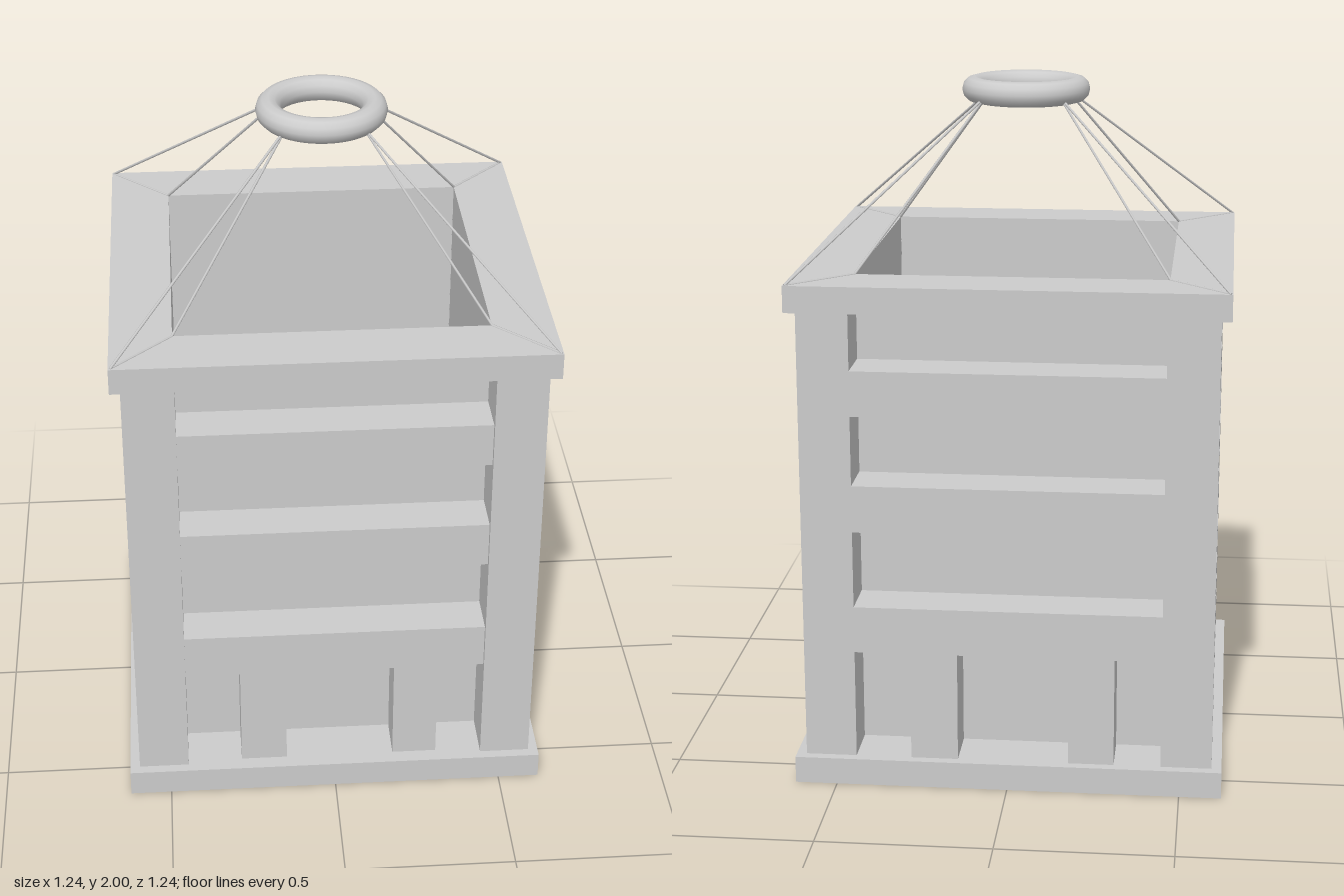
import * as THREE from 'three';

const material = new THREE.MeshStandardMaterial({ color: 0xcccccc });
const sheetMaterial = new THREE.MeshStandardMaterial({ color: 0xcccccc, side: THREE.DoubleSide });

const OUTER = 0.622, INNER = 0.446, POST = 0.593;
const BASE_TOP = 0.079, RIM_BOTTOM = 1.412, RIM_TOP = 1.489;

// Box given by its limits on each axis
function box(name, x0, x1, y0, y1, z0, z1) {
  const mesh = new THREE.Mesh(new THREE.BoxGeometry(x1 - x0, y1 - y0, z1 - z0), material);
  mesh.position.set((x0 + x1) / 2, (y0 + y1) / 2, (z0 + z1) / 2);
  mesh.name = name;
  return mesh;
}

// Flat square frame with a square hole
function squareFrame(name, y0, y1) {
  const square = (r) => [[-r, -r], [r, -r], [r, r], [-r, r]].map(([x, y]) => new THREE.Vector2(x, y));
  const shape = new THREE.Shape(square(OUTER));
  shape.holes.push(new THREE.Path(square(INNER).reverse()));
  const geometry = new THREE.ExtrudeGeometry(shape, { depth: y1 - y0, bevelEnabled: false });
  geometry.rotateX(-Math.PI / 2);
  const mesh = new THREE.Mesh(geometry, material);
  mesh.position.y = y0;
  mesh.name = name;
  return mesh;
}

// Thin straight wire between two points
function wire(a, b) {
  const mesh = new THREE.Mesh(new THREE.CylinderGeometry(0.004, 0.004, a.distanceTo(b), 6), material);
  mesh.position.copy(a).add(b).multiplyScalar(0.5);
  mesh.quaternion.setFromUnitVectors(new THREE.Vector3(0, 1, 0), b.clone().sub(a).normalize());
  mesh.name = 'wire';
  return mesh;
}

// One side: recessed wall, three beams and two short pillars, facing +z
function createSide(front) {
  const side = new THREE.Group();
  side.name = 'side';

  const wall = new THREE.Mesh(new THREE.PlaneGeometry(INNER * 2, RIM_BOTTOM - BASE_TOP), sheetMaterial);
  wall.position.set(0, (RIM_BOTTOM + BASE_TOP) / 2, INNER);
  wall.name = 'wall';
  side.add(wall);

  for (const [y0, y1] of [[0.402, 0.54], [0.767, 0.905], [1.11, 1.242]]) {
    side.add(box('beam', -0.45, 0.445, y0, y1, INNER + 0.002, front));
  }
  for (const [x0, x1] of [[-0.283, -0.146], [0.177, 0.309]]) {
    side.add(box('pillar', x0, x1, BASE_TOP, 0.402, INNER + 0.002, front));
  }
  return side;
}

// One corner: post plus the wires that carry it
function createCorner() {
  const corner = new THREE.Group();
  corner.name = 'corner';
  corner.add(box('cornerPost', 0.445, POST, BASE_TOP, RIM_BOTTOM, 0.445, POST));

  const outer = new THREE.Vector3(0.616, RIM_TOP, 0.616);
  const inner = new THREE.Vector3(0.447, RIM_TOP, 0.447);
  const top = new THREE.Vector3(0.11, 1.95, 0.11);
  corner.add(wire(outer, top), wire(inner, top), wire(inner, outer));
  return corner;
}

export function createModel() {
  const model = new THREE.Group();
  model.name = 'hangingLantern';

  model.add(squareFrame('baseFrame', 0, BASE_TOP));
  model.add(squareFrame('topFrame', RIM_BOTTOM, RIM_TOP));

  for (let i = 0; i < 4; i++) {
    // Beams sit slightly back on the front and +x sides
    const side = createSide(i < 2 ? 0.577 : POST);
    const corner = createCorner();
    side.rotation.y = corner.rotation.y = (i * Math.PI) / 2;
    model.add(side, corner);
  }

  // Hanging ring
  const ring = new THREE.Mesh(new THREE.TorusGeometry(0.152, 0.037, 12, 48), material);
  ring.rotation.x = Math.PI / 2;
  ring.position.y = 1.963;
  ring.name = 'hangingRing';
  model.add(ring);

  return model;
}
